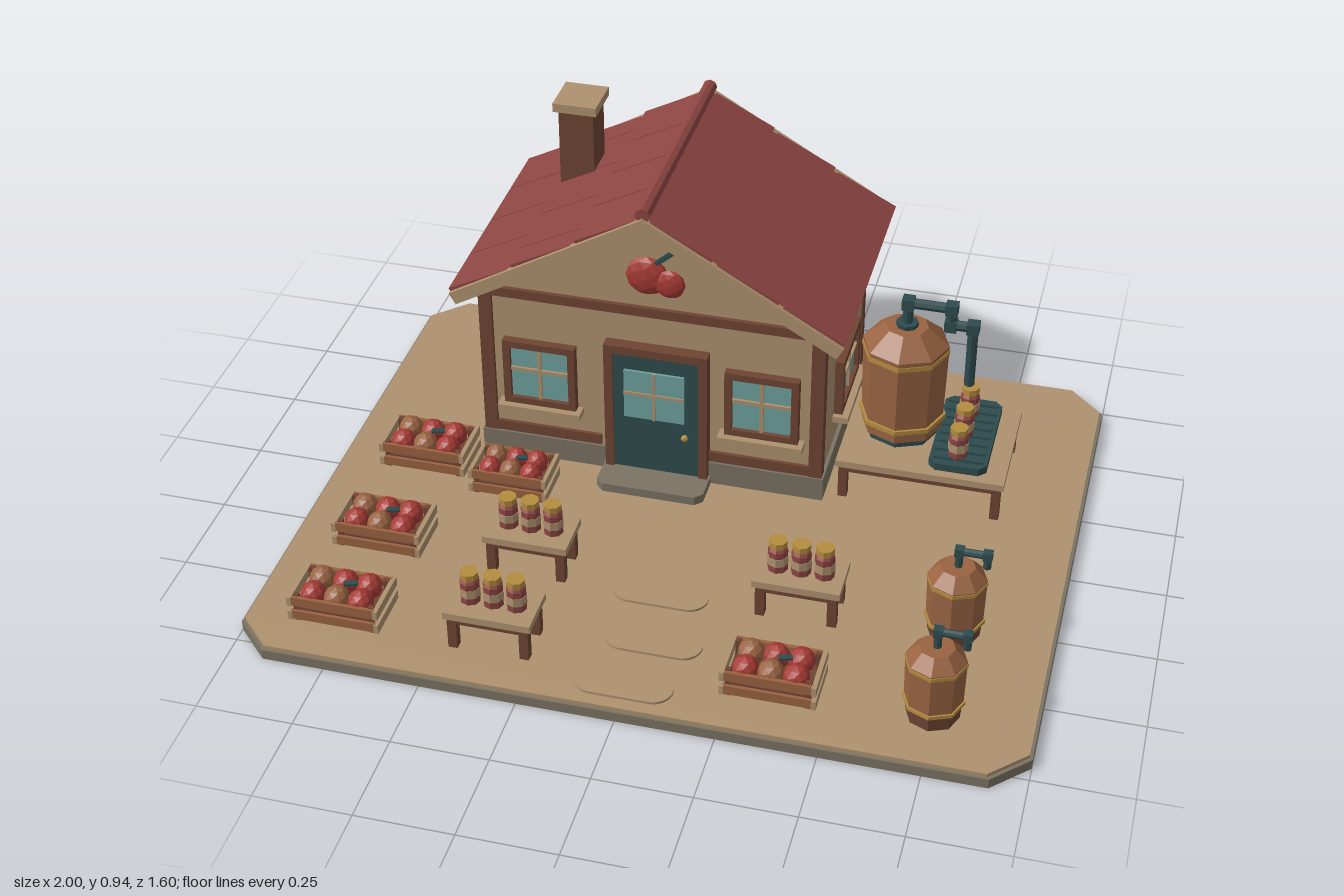
import * as THREE from 'three';

const mat = (name, color) => Object.assign(new THREE.MeshStandardMaterial({ color }), { name });
const TAN = mat('tan', 0xae926f), BROWN = mat('dark wood', 0x6e4433), COPPER = mat('copper wood', 0x996341),
  ROOF = mat('roof red', 0x8c4541), STONE = mat('stone', 0x7b7363), TEAL = mat('dark teal', 0x2e4b4d),
  GLASS = mat('glass', 0x6fa29d), GOLD = mat('gold', 0xb48c40), RED = mat('fruit red', 0xa63a34);

// Faceted normals
function flat(geo) {
  const g = geo.index ? geo.toNonIndexed() : geo;
  g.computeVertexNormals();
  return g;
}
function add(parent, name, geo, material, x = 0, y = 0, z = 0) {
  const m = new THREE.Mesh(geo, material);
  m.name = name;
  m.position.set(x, y, z);
  parent.add(m);
  return m;
}
function group(parent, name, x = 0, y = 0, z = 0) {
  const g = new THREE.Group();
  g.name = name;
  g.position.set(x, y, z);
  parent.add(g);
  return g;
}
// Box given by its centre
const box = (p, name, m, w, h, d, x, y, z) => add(p, name, new THREE.BoxGeometry(w, h, d), m, x, y, z);
// Eight-sided drum from y0 to y1
const drum = (p, name, m, r0, r1, y0, y1, x = 0, z = 0) =>
  add(p, name, flat(new THREE.CylinderGeometry(r1, r0, y1 - y0, 8)), m, x, (y0 + y1) / 2, z);
// Upright slab with a plan outline
function slab(p, name, m, shape, y0, h, x = 0, z = 0) {
  const geo = new THREE.ExtrudeGeometry(shape, { depth: h, bevelEnabled: false, curveSegments: 8 });
  return add(p, name, geo.rotateX(-Math.PI / 2), m, x, y0, z);
}
function chamfered(w, d, c) {
  const a = w / 2, b = d / 2;
  return new THREE.Shape([[a - c, -b], [a, c - b], [a, b - c], [a - c, b], [c - a, b], [-a, b - c], [-a, c - b], [c - a, -b]]
    .map(q => new THREE.Vector2(...q)));
}
// Pipe with square elbows through points in the x/y plane
function pipe(p, r, pts) {
  const g = group(p, 'pipe');
  for (let i = 1; i < pts.length; i++) {
    const a = new THREE.Vector3(...pts[i - 1], 0), b = new THREE.Vector3(...pts[i], 0), d = b.clone().sub(a);
    const m = add(g, 'pipeRun', flat(new THREE.CylinderGeometry(r, r, d.length(), 8)), TEAL);
    m.position.copy(a.add(b).multiplyScalar(0.5));
    m.quaternion.setFromUnitVectors(new THREE.Vector3(0, 1, 0), d.normalize());
    if (i < pts.length - 1) box(g, 'elbow', TEAL, r * 2.3, r * 2.3, r * 2.3, ...pts[i], 0);
  }
}

// Window facing +z, with frame, panes, bars and sill
function windowUnit(p, w, h, x, y, z, turn = 0) {
  const g = group(p, 'window', x, y, z);
  g.rotation.y = turn;
  box(g, 'glass', GLASS, w - 0.02, h - 0.02, 0.008, 0, 0, 0.008);
  for (const s of [-1, 1]) {
    box(g, 'frameSide', BROWN, 0.02, h, 0.024, s * (w / 2 - 0.01), 0, 0.012);
    box(g, 'frameRail', BROWN, w, 0.02, 0.024, 0, s * (h / 2 - 0.01), 0.012);
  }
  box(g, 'bar', TAN, 0.01, h - 0.04, 0.008, 0, 0, 0.015);
  box(g, 'bar', TAN, w - 0.04, 0.01, 0.008, 0, 0.01, 0.015);
  box(g, 'sill', TAN, w + 0.03, 0.018, 0.045, 0, -h / 2 - 0.008, 0.02);
}

function house(root) {
  const g = group(root, 'house', -0.157, 0, -0.41);
  box(g, 'foundation', STONE, 0.95, 0.07, 0.58, 0, 0.072, 0);
  const gable = new THREE.Shape([[-0.465, 0.1], [0.465, 0.1], [0.465, 0.577], [0, 0.845], [-0.465, 0.577]]
    .map(q => new THREE.Vector2(...q)));
  add(g, 'walls', new THREE.ExtrudeGeometry(gable, { depth: 0.55, bevelEnabled: false }), TAN, 0, 0, -0.275);
  for (const sx of [-1, 1]) for (const sz of [-1, 1])
    box(g, 'cornerPost', BROWN, 0.036, 0.53, 0.036, sx * 0.452, 0.308, sz * 0.268);
  box(g, 'gableBeam', BROWN, 0.94, 0.027, 0.02, 0, 0.56, 0.277);
  for (const s of [-1, 1]) box(g, 'lowBeam', BROWN, 0.3, 0.03, 0.016, s * 0.29, 0.123, 0.277);

  // Roof slopes with three staggered rows of tiles
  for (const s of [-1, 1]) {
    const slope = group(g, 'roofSlope', 0, 0.88, -0.01);
    slope.rotation.z = -s * Math.PI / 6;
    box(slope, 'roofDeck', BROWN, 0.6, 0.02, 0.68, s * 0.3, -0.022, 0);
    for (let row = 0; row < 3; row++) {
      const cuts = row === 1 ? [-0.35, -0.263, -0.088, 0.088, 0.263, 0.35] : [-0.35, -0.175, 0, 0.175, 0.35];
      for (let i = 1; i < cuts.length; i++) {
        const t = box(slope, 'roofTile', ROOF, 0.21, 0.016, cuts[i] - cuts[i - 1] - 0.004,
          s * (0.102 + row * 0.2), -0.004, (cuts[i] + cuts[i - 1]) / 2);
        t.rotation.z = s * 0.05;
      }
    }
    for (const z of [-0.35, 0.35]) box(slope, 'bargeBoard', TAN, 0.61, 0.036, 0.018, s * 0.303, -0.018, z);
  }
  const ridge = add(g, 'ridgeCap', flat(new THREE.CylinderGeometry(0.02, 0.02, 0.7, 8)), ROOF, 0, 0.887, -0.01);
  ridge.rotation.x = Math.PI / 2;

  // Chimney
  box(g, 'chimney', BROWN, 0.096, 0.28, 0.1, -0.3, 0.78, -0.135);
  box(g, 'chimneyCap', TAN, 0.12, 0.025, 0.126, -0.3, 0.925, -0.135);

  // Door
  const door = group(g, 'door', 0.02, 0, 0.28);
  for (const s of [-1, 1]) box(door, 'doorPost', BROWN, 0.024, 0.405, 0.04, s * 0.129, 0.252, 0.01);
  box(door, 'doorLintel', BROWN, 0.282, 0.024, 0.04, 0, 0.445, 0.01);
  box(door, 'doorLeaf', TEAL, 0.236, 0.39, 0.03, 0, 0.24, 0.008);
  box(door, 'doorGlass', GLASS, 0.165, 0.15, 0.008, -0.004, 0.31, 0.026);
  box(door, 'doorBar', TAN, 0.008, 0.15, 0.006, -0.004, 0.31, 0.031);
  box(door, 'doorBar', TAN, 0.165, 0.008, 0.006, -0.004, 0.315, 0.031);
  add(door, 'knob', flat(new THREE.IcosahedronGeometry(0.011)), GOLD, 0.08, 0.19, 0.03);
  slab(g, 'doorStep', STONE, chamfered(0.295, 0.13, 0.02), 0.038, 0.025, 0.02, 0.33);

  for (const s of [-1, 1]) windowUnit(g, 0.2, 0.2, s * 0.305, 0.315, 0.275);
  windowUnit(g, 0.23, 0.17, 0.465, 0.285, 0, Math.PI / 2);

  // Fruit ornament on the gable
  const fruit = group(g, 'fruitOrnament', 0, 0.675, 0.285);
  for (const [x, y, r, z] of [[-0.005, 0, 0.057, 0], [0.058, -0.012, 0.042, 0.008]])
    add(fruit, 'fruit', flat(new THREE.IcosahedronGeometry(r, 1)), RED, x, y, z).scale.z = 0.4;
  box(fruit, 'stem', TEAL, 0.012, 0.06, 0.012, 0.044, 0.064, 0.005).rotation.z = -0.85;
}

function jar(p, x, y, z) {
  const g = group(p, 'jar', x, y, z);
  drum(g, 'jarBody', ROOF, 0.026, 0.026, 0, 0.062);
  drum(g, 'jarLabel', TAN, 0.0275, 0.0275, 0.02, 0.044);
  drum(g, 'jarNeck', ROOF, 0.026, 0.018, 0.062, 0.074);
  drum(g, 'jarLid', GOLD, 0.024, 0.024, 0.072, 0.09);
}

function table(p, w, d, h, x, z) {
  const g = group(p, 'table', x, 0.038, z);
  box(g, 'tableTop', TAN, w, 0.02, d, 0, h - 0.01, 0);
  for (const s of [-1, 1]) {
    box(g, 'apron', BROWN, w - 0.05, 0.022, 0.014, 0, h - 0.031, s * (d / 2 - 0.02));
    box(g, 'apronEnd', BROWN, 0.014, 0.022, d - 0.05, s * (w / 2 - 0.02), h - 0.031, 0);
    for (const t of [-1, 1])
      box(g, 'tableLeg', BROWN, 0.024, h - 0.02, 0.024, s * (w / 2 - 0.02), h / 2 - 0.01, t * (d / 2 - 0.02));
  }
  return g;
}

function crate(p, x, z, k = 1) {
  const g = group(p, 'fruitCrate', x, 0.038, z);
  g.scale.set(k, 1, k);
  box(g, 'crateFloor', BROWN, 0.21, 0.03, 0.12, 0, 0.025, 0);
  for (const s of [-1, 1]) {
    for (const y of [0.022, 0.065]) {
      box(g, 'longSlat', COPPER, 0.225, 0.026, 0.01, 0, y, s * 0.064);
      box(g, 'endSlat', TAN, 0.012, 0.026, 0.145, s * 0.114, y, 0);
    }
    for (const t of [-1, 1]) box(g, 'cratePost', BROWN, 0.014, 0.08, 0.014, s * 0.1, 0.04, t * 0.054);
  }
  for (let i = 0; i < 3; i++) for (let j = 0; j < 2; j++)
    add(g, 'apple', flat(new THREE.IcosahedronGeometry(0.034, 1)), (i + 2 * j) % 3 === 0 ? COPPER : RED,
      (i - 1) * 0.063, 0.07, (j - 0.5) * 0.062);
  box(g, 'leaf', TEAL, 0.034, 0.006, 0.016, 0.03, 0.102, 0.006).rotation.y = 0.3;
}

function still(p) {
  const g = table(p, 0.45, 0.345, 0.122, 0.57, -0.317);
  g.name = 'stillTable';
  const s = group(p, 'still', 0.487, 0.16, -0.34);
  drum(s, 'stillBase', TEAL, 0.1, 0.1, 0, 0.022);
  drum(s, 'stillBody', COPPER, 0.11, 0.116, 0.02, 0.28);
  drum(s, 'stillShoulder', COPPER, 0.116, 0.058, 0.28, 0.33);
  for (const y of [0.05, 0.255]) drum(s, 'stillBand', GOLD, 0.118, 0.118, y, y + 0.013);
  drum(s, 'collar', TEAL, 0.03, 0.03, 0.325, 0.342);
  pipe(s, 0.014, [[0, 0.33], [0, 0.4], [0.115, 0.4], [0.115, 0.35], [0.174, 0.35], [0.174, 0.17]]);
  // Ribbed tray with filled jars
  slab(p, 'tray', TEAL, chamfered(0.155, 0.315, 0.02), 0.16, 0.022, 0.665, -0.327);
  for (let i = 0; i < 8; i++) box(p, 'trayRib', TEAL, 0.135, 0.008, 0.012, 0.665, 0.185, -0.457 + i * 0.037);
  for (const z of [-0.405, -0.31, -0.215]) jar(p, 0.66, 0.187, z);
}

function barrel(p, x, z) {
  const g = group(p, 'barrel', x, 0.038, z);
  drum(g, 'barrelFoot', BROWN, 0.066, 0.07, 0, 0.045);
  drum(g, 'barrelBody', COPPER, 0.072, 0.075, 0.045, 0.178);
  drum(g, 'barrelShoulder', COPPER, 0.075, 0.044, 0.178, 0.212);
  for (const y of [0.045, 0.165]) drum(g, 'barrelBand', GOLD, 0.077, 0.077, y, y + 0.01);
  pipe(g, 0.01, [[0, 0.205], [0, 0.258], [0.07, 0.258], [0.07, 0.22]]);
}

export function createModel() {
  const root = new THREE.Group();
  root.name = 'orchardShop';
  // Ground slab and stepping stones
  slab(root, 'groundEdge', STONE, chamfered(2, 1.6, 0.09), 0, 0.028);
  slab(root, 'ground', TAN, chamfered(1.985, 1.585, 0.088), 0.028, 0.01);
  const stone = new THREE.Shape();
  stone.absarc(0.075, 0, 0.05, -Math.PI / 2, Math.PI / 2);
  stone.absarc(-0.075, 0, 0.05, Math.PI / 2, Math.PI * 1.5);
  for (const [x, z] of [[0, 0.71], [0.03, 0.54], [0, 0.36]]) slab(root, 'steppingStone', TAN, stone, 0.037, 0.008, x, z);

  house(root);
  still(root);
  for (const [x, z] of [[-0.355, 0.317], [0.353, 0.317], [-0.355, 0.623]]) {
    table(root, 0.225, 0.135, 0.115, x, z);
    for (const dx of [-0.06, 0, 0.06]) jar(root, x + dx, 0.153, z);
  }
  for (const [x, z] of [[-0.76, -0.04], [-0.76, 0.315], [-0.76, 0.62], [0.353, 0.62]]) crate(root, x, z);
  crate(root, -0.5, 0.02, 0.9);
  for (const z of [0.315, 0.62]) barrel(root, 0.745, z);
  return root;
}
